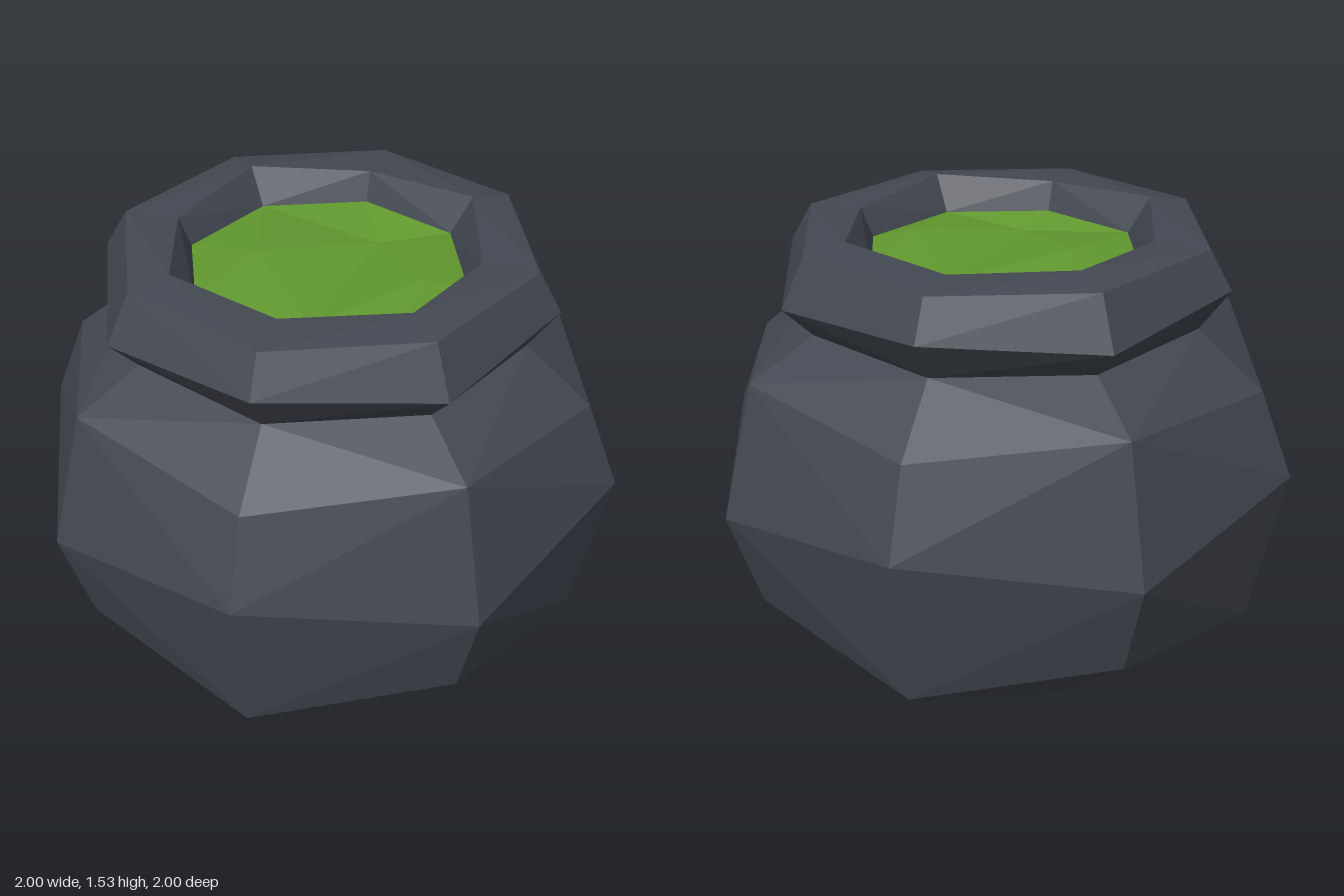
import * as THREE from 'three';

const SIDES = 8;

// Build a faceted geometry from points and triangle corners
function facets(points, tris) {
  const g = new THREE.BufferGeometry();
  g.setAttribute('position', new THREE.Float32BufferAttribute(points.flat(), 3));
  g.setIndex(tris.flat());
  const flat = g.toNonIndexed();
  flat.computeVertexNormals();
  return flat;
}

// Octagon ring whose axis corners and diagonal corners may differ
function ring([rAxis, yAxis, rDiag = rAxis, yDiag = yAxis]) {
  return Array.from({ length: SIDES }, (_, k) => {
    const a = (k * Math.PI) / 4;
    const r = k % 2 ? rDiag : rAxis;
    return [r * Math.cos(a), k % 2 ? yDiag : yAxis, r * Math.sin(a)];
  });
}

// Join rings from bottom to top; each band's crease leaves from its
// upper axis corner, or from its lower axis corner when listed in lowCrease
function bands(rings, lowCrease = []) {
  const tris = [];
  for (let b = 0; b < rings.length - 1; b++) {
    for (let k = 0; k < SIDES; k++) {
      const n = (k + 1) % SIDES;
      const l0 = b * SIDES + k, l1 = b * SIDES + n;
      const u0 = l0 + SIDES, u1 = l1 + SIDES;
      const axisFirst = k % 2 === 0;
      if (axisFirst === lowCrease.includes(b)) tris.push([l0, u0, u1], [l0, u1, l1]);
      else tris.push([l0, u0, l1], [u0, u1, l1]);
    }
  }
  return { points: rings.flatMap(ring), tris };
}

export function createModel() {
  const group = new THREE.Group();
  const iron = new THREE.MeshStandardMaterial({ color: 0x434852, flatShading: true });
  iron.name = 'dark iron';
  const brew = new THREE.MeshStandardMaterial({ color: 0x62992f, flatShading: true });
  brew.name = 'green brew';
  const add = (name, geometry, material) => {
    const mesh = new THREE.Mesh(geometry, material);
    mesh.name = name;
    group.add(mesh);
  };

  // Round belly up to the neck
  const body = bands([
    [0.89, 0.32, 0.88, 0.22],
    [1, 0.65, 1, 0.76],
    [0.89, 1.11, 0.89, 1.05],
    [0.67, 1.24],
  ], [2]);
  add('body', facets(body.points, body.tris), iron);

  // Underside: four foot corners, folded along the z axis
  const under = ring([0.89, 0.32, 0.88, 0.22]);
  under.push([0.5, 0.075, 0], [0, 0, 0.5], [-0.5, 0.075, 0], [0, 0, -0.5]);
  const underTris = [[8, 9, 11], [9, 10, 11]];
  for (let q = 0; q < 4; q++) {
    const a = q * 2, d = a + 1, a2 = (a + 2) % SIDES;
    const f = 8 + q, f2 = 8 + ((q + 1) % 4);
    underTris.push([f, a, d], [f, d, f2], [f2, d, a2]);
  }
  add('underside', facets(under, underTris), iron);

  // Flared rim and its inner wall
  const rim = bands([
    [0.67, 1.24],
    [0.77, 1.34, 0.77, 1.38],
    [0.69, 1.51, 0.695, 1.51],
    [0.55, 1.535, 0.51, 1.515],
    [0.467, 1.42],
  ]);
  add('rim', facets(rim.points, rim.tris), iron);

  // Liquid surface with uneven ripples
  const liquid = ring([0.467, 1.42]);
  liquid.push([0.2, 1.45, 0.27], [-0.2, 1.39, 0.25], [-0.18, 1.45, -0.15], [0.25, 1.39, -0.1]);
  const liquidTris = [[8, 11, 9], [9, 11, 10]];
  const nearest = [8, 8, 9, 9, 10, 10, 11, 11]; // ripple point joined to each outer edge
  for (let k = 0; k < SIDES; k++) {
    liquidTris.push([(k + 1) % SIDES, k, nearest[k]]);
    if (k % 2 === 0) liquidTris.push([k, nearest[(k + 7) % SIDES], nearest[k]]);
  }
  add('liquid', facets(liquid, liquidTris), brew);

  return group;
}
